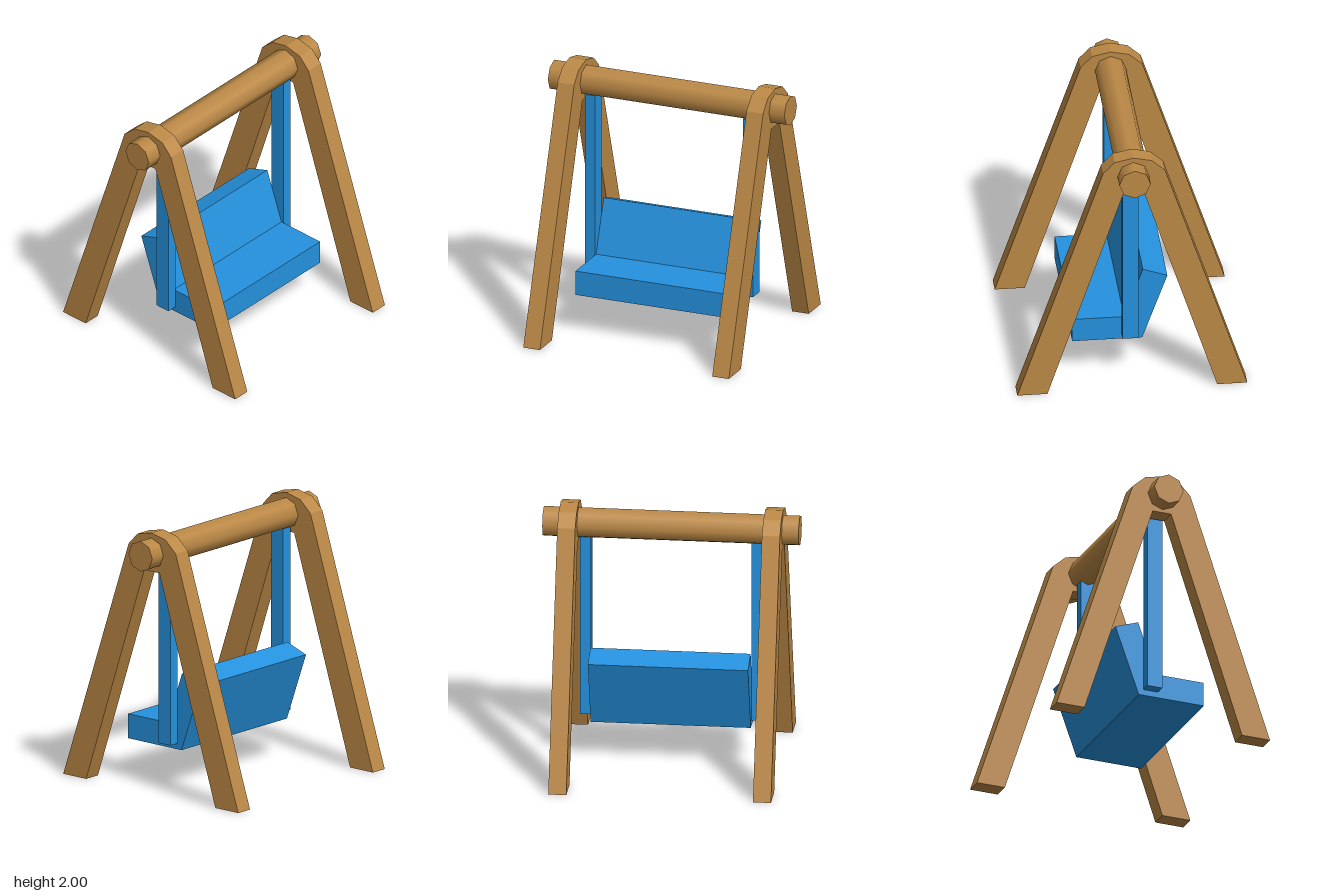
import * as THREE from 'three';

const wood = new THREE.MeshStandardMaterial({ color: 0xbc8946 });
wood.name = 'wood';
const blue = new THREE.MeshStandardMaterial({ color: 0x2592de });
blue.name = 'blue paint';

// Extrudes an x/y outline between two z values
function slab(name, points, z0, z1, material) {
  const shape = new THREE.Shape(points.map(([x, y]) => new THREE.Vector2(x, y)));
  const geometry = new THREE.ExtrudeGeometry(shape, { depth: z1 - z0, bevelEnabled: false });
  geometry.translate(0, 0, z0);
  const mesh = new THREE.Mesh(geometry, material);
  mesh.name = name;
  return mesh;
}

export function createModel() {
  const group = new THREE.Group();
  group.name = 'porchSwing';

  // A-shaped end frames with a faceted crown
  const frame = [
    [-0.857, 0], [-0.633, 0], [-0.085, 1.705], [0.063, 1.705], [0.633, 0], [0.857, 0],
    [0.217, 1.88], [0.131, 1.97], [-0.008, 2], [-0.145, 1.97], [-0.245, 1.88],
  ];
  group.add(slab('frontFrame', frame, 0.696, 0.83, wood));
  group.add(slab('backFrame', frame, -0.83, -0.696, wood));

  // Octagonal crossbeam, smooth along its sides
  const beam = new THREE.Mesh(new THREE.CylinderGeometry(0.117, 0.117, 1.91, 8), wood);
  beam.name = 'crossbeam';
  beam.rotation.x = Math.PI / 2;
  beam.position.set(-0.007, 1.845, 0);
  group.add(beam);

  // Hanging arms at both ends of the bench
  for (const [name, z] of [['frontHanger', 0.638], ['backHanger', -0.638]]) {
    const hanger = new THREE.Mesh(new THREE.BoxGeometry(0.118, 1.403, 0.08), blue);
    hanger.name = name;
    hanger.position.set(-0.004, 1.0485, z);
    group.add(hanger);
  }

  // Bench: seat and leaning backrest in one profile
  const bench = [
    [-0.1, 0.302], [0.422, 0.302], [0.422, 0.49], [0.036, 0.49], [-0.105, 0.89], [-0.287, 0.825],
  ];
  group.add(slab('bench', bench, -0.597, 0.597, blue));

  return group;
}
